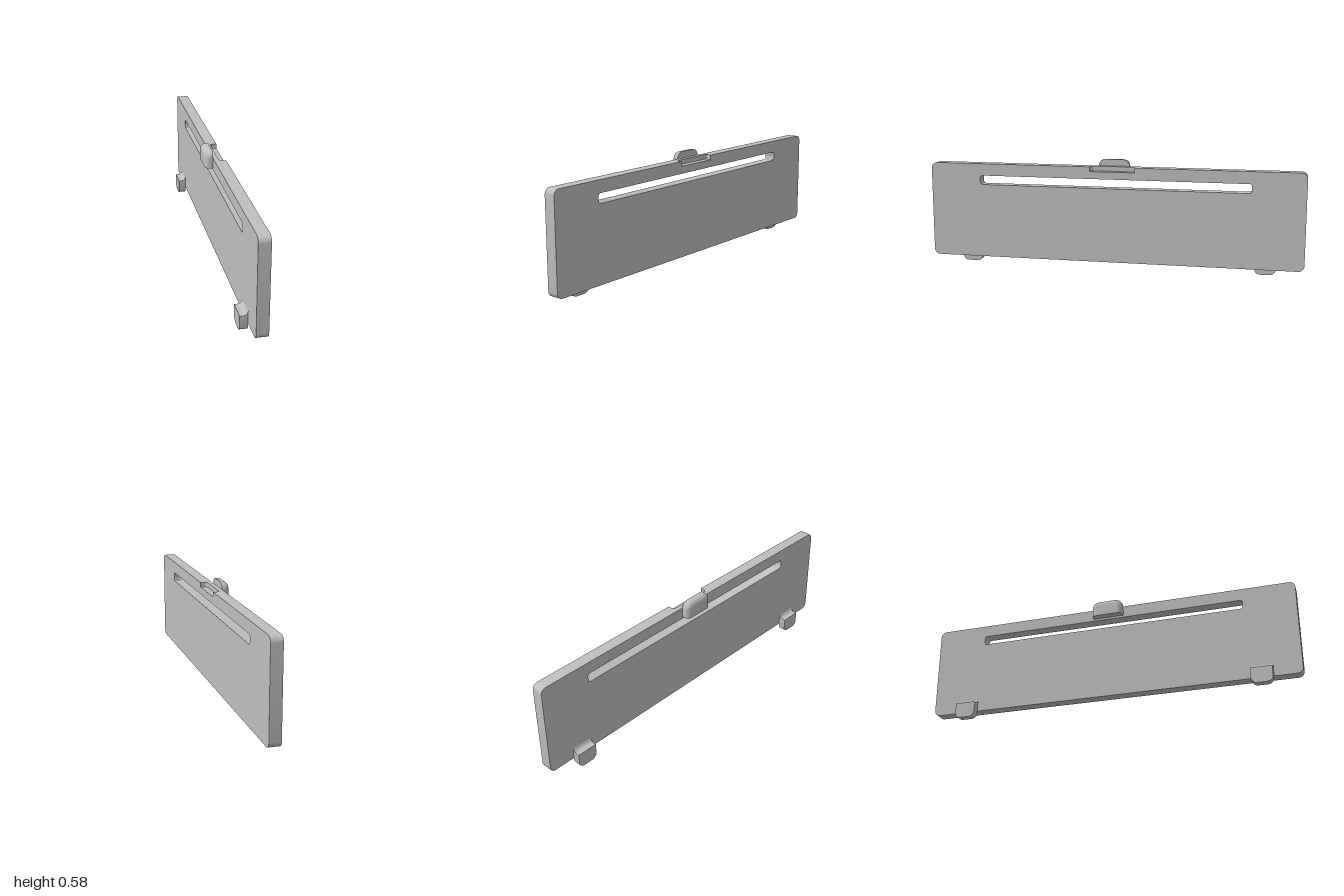
import * as THREE from 'three';
import { toCreasedNormals } from 'three/addons/utils/BufferGeometryUtils.js';

const grey = new THREE.MeshStandardMaterial({ color: 0xbfbfbf });
grey.name = 'grey';

// Outline from corners [u, v, radius], rounding each corner
function rounded(corners, Type = THREE.Shape) {
  const shape = new Type();
  const n = corners.length;
  corners.forEach(([u, v, r = 0], i) => {
    const p = new THREE.Vector2(u, v);
    const toward = (q) => p.clone().add(new THREE.Vector2(q[0], q[1]).sub(p).setLength(r));
    const a = toward(corners[(i + n - 1) % n]);
    const b = toward(corners[(i + 1) % n]);
    if (i === 0) shape.moveTo(a.x, a.y);
    else shape.lineTo(a.x, a.y);
    if (r > 0) {
      const k = 0.5523; // circular arc as a cubic
      const c1 = a.clone().lerp(p, k), c2 = b.clone().lerp(p, k);
      shape.bezierCurveTo(c1.x, c1.y, c2.x, c2.y, b.x, b.y);
    }
  });
  shape.closePath();
  return shape;
}

const rect = (w, y0, y1, r0, r1 = r0) =>
  [[-w, y0, r0], [w, y0, r0], [w, y1, r1], [-w, y1, r1]];

const extrude = (shape, depth, options = {}) =>
  new THREE.ExtrudeGeometry(shape, { depth, bevelEnabled: false, curveSegments: 8, ...options });

// Side outline (z, y) extruded along x from x0 to x1
const alongX = (shape, x0, x1) =>
  extrude(shape, x1 - x0).rotateY(Math.PI / 2).translate(x0, 0, 0);

export function createModel() {
  const model = new THREE.Group();
  model.name = 'slottedPanel';
  const add = (name, geometry) => {
    const mesh = new THREE.Mesh(toCreasedNormals(geometry, 0.6), grey);
    mesh.name = name;
    model.add(mesh);
  };

  // Panel in two layers, the outer one notched at the top
  const back = -0.01, step = 0.015, face = 0.05, top = 0.55, floor = 0.525, notch = 0.12;
  const slot = () => rounded(rect(0.725, 0.437, 0.486, 0.014), THREE.Path);
  const backShape = rounded(rect(1, 0.041, top, 0.03));
  backShape.holes.push(slot());
  add('panelBack', alongX(backShape, back, step));
  const frontShape = rounded([
    [-1, 0.041, 0.03], [1, 0.041, 0.03], [1, top, 0.03],
    [notch, top], [notch, floor], [-notch, floor], [-notch, top], [-1, top, 0.03],
  ]);
  frontShape.holes.push(slot());
  add('panelFront', alongX(frontShape, step, face));

  for (const s of [1, -1]) {
    const side = s > 0 ? 'Front' : 'Rear';

    // Rounded inner corner of the notch
    const r = 0.013;
    const corner = new THREE.Shape();
    corner.moveTo(step, s * notch);
    corner.lineTo(step + r, s * notch);
    corner.absarc(step + r, s * (notch - r), r, s * Math.PI / 2, s * Math.PI, s < 0);
    corner.closePath();
    add('notchCorner' + side, extrude(corner, top - floor).rotateX(Math.PI / 2).translate(0, top, 0));

    // Foot hooked below the panel
    const foot = alongX(rounded(rect(0.055, 0, 0.083, 0.03, 0)), -0.05, back);
    add('foot' + side, foot.translate(0, 0, s * 0.8));

    // Concave fillet joining foot and panel
    const fillet = new THREE.Shape();
    fillet.moveTo(back, 0.083);
    fillet.lineTo(back, 0.108);
    fillet.absarc(-0.035, 0.108, 0.025, 0, -Math.PI / 2, true);
    fillet.closePath();
    add('footFillet' + side, extrude(fillet, 0.11).translate(0, 0, s * 0.8 - 0.055));
  }

  // Tab with a rounded outer rim, cut flat at the bottom and against the panel
  const rim = 0.026;
  const tab = extrude(rounded(rect(0.083, 0.42, 0.585, 0, 0.036)), 0.04, {
    bevelEnabled: true, bevelSize: rim, bevelThickness: rim, bevelOffset: -rim, bevelSegments: 6,
  }).rotateY(Math.PI / 2).translate(-0.05 + rim, 0, 0);
  const p = tab.attributes.position;
  for (let i = 0; i < p.count; i++) {
    p.setX(i, Math.min(p.getX(i), back));
    p.setY(i, Math.max(p.getY(i), 0.497));
  }
  add('tab', tab);

  return model;
}
